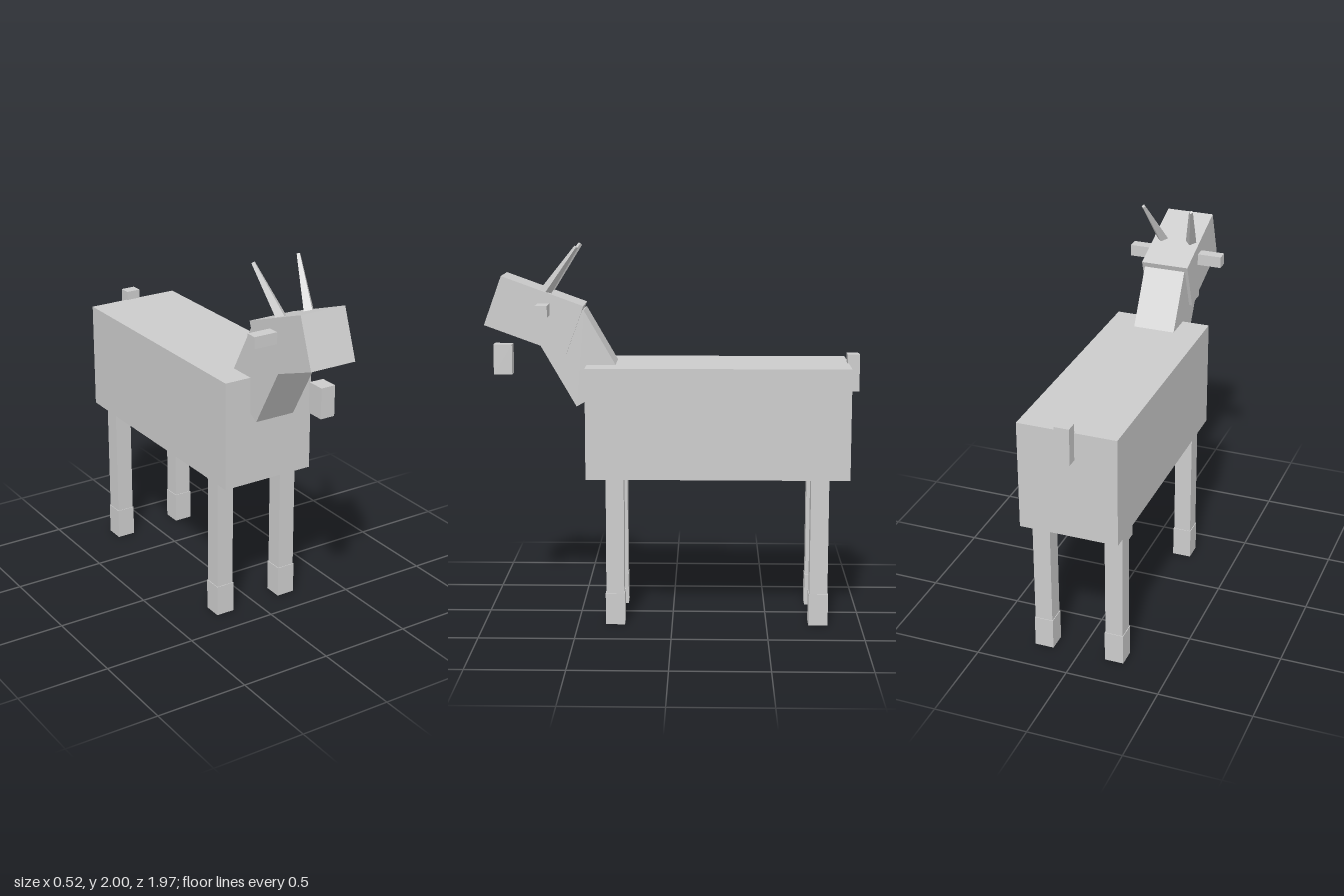
import * as THREE from 'three';

const deg = Math.PI / 180;

export function createModel() {
  const root = new THREE.Group();
  root.name = 'goat';
  const grey = new THREE.MeshStandardMaterial({ color: 0xcccccc });
  grey.name = 'plain grey';

  // box with size, centre and tilt around the x axis in degrees
  const box = (name, size, pos, tilt = 0) => {
    const mesh = new THREE.Mesh(new THREE.BoxGeometry(...size), grey);
    mesh.name = name;
    mesh.position.set(...pos);
    mesh.rotation.x = tilt * deg;
    root.add(mesh);
    return mesh;
  };

  // body, neck and head
  box('body', [0.524, 0.586, 1.383], [0, 1.082, -0.238]);
  box('neck', [0.226, 0.42, 0.291], [0, 1.407, 0.487], 30);
  box('head', [0.26, 0.273, 0.456], [0, 1.635, 0.727], -20);
  box('beard', [0.08, 0.16, 0.098], [0, 1.391, 0.904]);
  box('tail', [0.08, 0.196, 0.064], [0, 1.325, -0.955]);

  // four-sided tapered horn running between two points
  const horn = (name, side) => {
    const base = new THREE.Vector3(side * 0.078, 1.736, 0.681);
    const tip = new THREE.Vector3(side * 0.134, 1.994, 0.499);
    const axis = tip.clone().sub(base);
    const geo = new THREE.CylinderGeometry(0.011, 0.032, axis.length(), 4).toNonIndexed();
    geo.computeVertexNormals();
    const mesh = new THREE.Mesh(geo, grey);
    mesh.name = name;
    mesh.position.copy(base).add(tip).multiplyScalar(0.5);
    mesh.quaternion.setFromUnitVectors(new THREE.Vector3(0, 1, 0), axis.normalize());
    root.add(mesh);
  };

  // paired parts
  for (const [label, side] of [['left', 1], ['right', -1]]) {
    horn(label + 'Horn', side);
    box(label + 'Ear', [0.14, 0.062, 0.063], [side * 0.191, 1.668, 0.675]);
    for (const [end, z] of [['Front', 0.302], ['Back', -0.774]]) {
      box(label + end + 'Leg', [0.095, 0.63, 0.095], [side * 0.196, 0.48, z]);
      box(label + end + 'Hoof', [0.102, 0.17, 0.102], [side * 0.196, 0.085, z]);
    }
  }
  return root;
}
